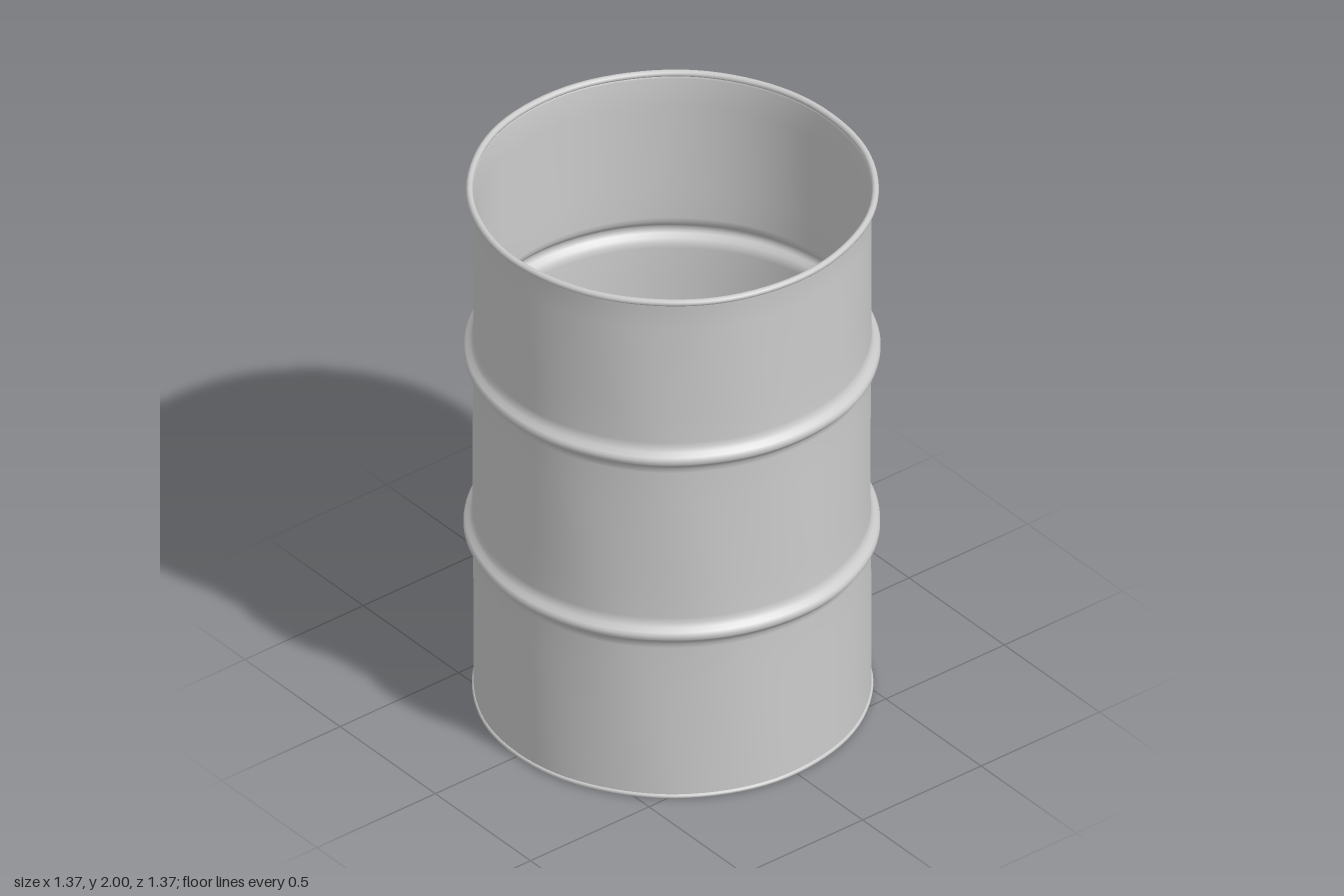
import * as THREE from 'three';
import { mergeVertices } from 'three/addons/utils/BufferGeometryUtils.js';

const SEGMENTS = 96;
const RADIUS = 0.655;
const RIBS = [0.66, 1.36];
const material = new THREE.MeshStandardMaterial({ color: 0xcccccc, side: THREE.DoubleSide });

// Slight hand-worn unevenness, periodic around the axis
function wear(geometry) {
  geometry.deleteAttribute('uv');
  geometry.deleteAttribute('normal');
  const merged = mergeVertices(geometry, 1e-5);
  const p = merged.attributes.position;
  for (let i = 0; i < p.count; i++) {
    const x = p.getX(i), y = p.getY(i), z = p.getZ(i);
    const a = Math.atan2(z, x);
    const s = 1 + 0.0018 * Math.sin(5 * a + 3 * y) + 0.0012 * Math.sin(11 * a - 5 * y);
    p.setXYZ(i, x * s, y, z * s);
  }
  merged.computeVertexNormals();
  return merged;
}

function addPart(group, name, geometry) {
  const mesh = new THREE.Mesh(geometry, material);
  mesh.name = name;
  group.add(mesh);
  return mesh;
}

// Torus lying flat around the drum
function ring(radius, tube, y) {
  const g = new THREE.TorusGeometry(radius, tube, 10, SEGMENTS);
  g.rotateX(Math.PI / 2);
  g.translate(0, y, 0);
  return wear(g);
}

export function createModel() {
  const group = new THREE.Group();
  group.name = 'openDrum';

  // Thin wall with two rolled ribs pressed outward
  const ribProfile = [[-0.06, 0], [-0.042, 0.003], [-0.028, 0.011], [-0.016, 0.024], [-0.007, 0.031],
    [0.007, 0.031], [0.016, 0.024], [0.028, 0.011], [0.042, 0.003], [0.06, 0]];
  const profile = [new THREE.Vector2(RADIUS, 0.01)];
  let last = 0.01;
  const straightTo = (y) => {
    for (let k = 1; k <= 5; k++) profile.push(new THREE.Vector2(RADIUS, last + (y - last) * k / 5));
  };
  for (const rib of RIBS) {
    straightTo(rib + ribProfile[0][0]);
    for (const [dy, dr] of ribProfile.slice(1)) profile.push(new THREE.Vector2(RADIUS + dr, rib + dy));
    last = rib + 0.06;
  }
  straightTo(1.975);
  profile.push(new THREE.Vector2(RADIUS + 0.01, 1.985));
  addPart(group, 'wall', wear(new THREE.LatheGeometry(profile, SEGMENTS)));

  // Rolled lip around the open top and narrow seam at the foot
  addPart(group, 'topRim', ring(0.668, 0.012, 1.988));
  addPart(group, 'bottomSeam', ring(0.652, 0.009, 0.009));

  // Flat bottom plate
  const floor = new THREE.CircleGeometry(0.655, SEGMENTS);
  floor.rotateX(Math.PI / 2);
  floor.translate(0, 0.01, 0);
  addPart(group, 'floor', floor);

  return group;
}
